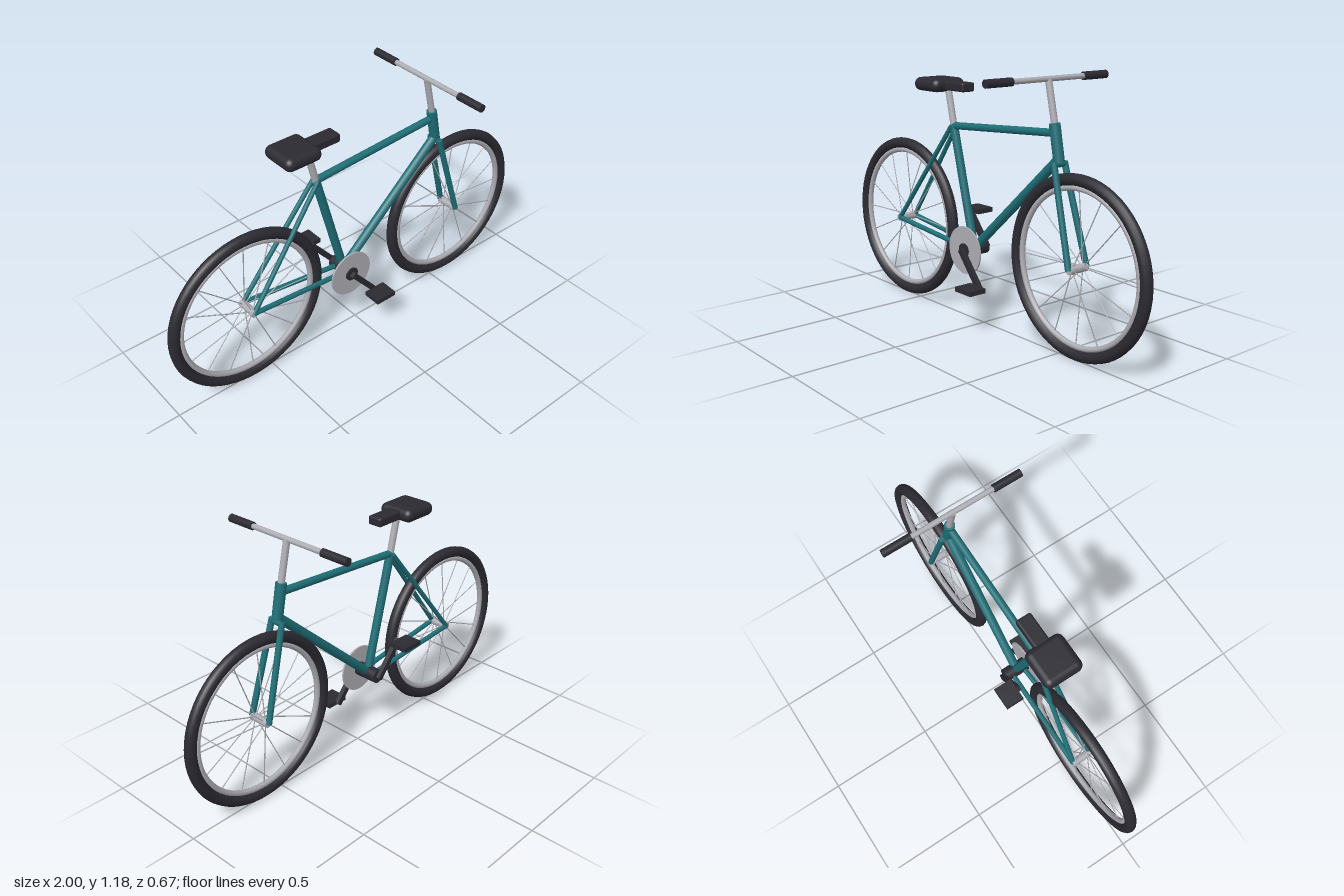
import * as THREE from 'three';
import { RoundedBoxGeometry } from 'three/addons/geometries/RoundedBoxGeometry.js';

const material = (name, color) => {
  const m = new THREE.MeshStandardMaterial({ color });
  m.name = name;
  return m;
};

export function createModel() {
  const teal = material('tealPaint', 0x1e6e76);
  const black = material('blackRubber', 0x2b2a32);
  const silver = material('silverMetal', 0xadadb4);

  const bike = new THREE.Group();
  bike.name = 'bicycle';

  const add = (parent, name, geometry, mat, x = 0, y = 0, z = 0) => {
    const mesh = new THREE.Mesh(geometry, mat);
    mesh.name = name;
    mesh.position.set(x, y, z);
    parent.add(mesh);
    return mesh;
  };

  // Round bar between two points
  const up = new THREE.Vector3(0, 1, 0);
  const bar = (parent, name, from, to, r, mat, sides = 16) => {
    const a = new THREE.Vector3(...from), b = new THREE.Vector3(...to);
    const dir = b.clone().sub(a);
    const mesh = add(parent, name, new THREE.CylinderGeometry(r, r, dir.length(), sides), mat);
    mesh.position.copy(a).add(b).multiplyScalar(0.5);
    mesh.quaternion.setFromUnitVectors(up, dir.normalize());
    return mesh;
  };

  const axleY = 0.398, axleX = 0.602;
  const crank = [-0.07, 0.343];
  const seatTop = [-0.217, 0.9];
  const headTop = [0.453, 0.985], headLow = [0.484, 0.825];

  // Wheels: tyre, rim, hub and spokes fanning from alternate hub ends
  const wheel = (name, x) => {
    const g = new THREE.Group();
    g.name = name;
    g.position.set(x, axleY, 0);
    add(g, 'tyre', new THREE.TorusGeometry(0.372, 0.026, 12, 64), black);
    add(g, 'rim', new THREE.TorusGeometry(0.338, 0.013, 8, 64), silver);
    bar(g, 'hub', [0, 0, -0.05], [0, 0, 0.05], 0.018, silver);
    const count = 16;
    for (let i = 0; i < count; i++) {
      const a = (i / count) * Math.PI * 2, c = Math.cos(a), s = Math.sin(a);
      const z = i % 2 ? 0.03 : -0.03;
      bar(g, 'spoke', [c * 0.015, s * 0.015, z], [c * 0.335, s * 0.335, 0], 0.0025, silver, 6);
    }
    bike.add(g);
  };
  wheel('rearWheel', -axleX);
  wheel('frontWheel', axleX);

  // Main frame
  const frame = new THREE.Group();
  frame.name = 'frame';
  bike.add(frame);
  bar(frame, 'seatTube', [...crank, 0], [...seatTop, 0], 0.02, teal);
  bar(frame, 'topTube', [...seatTop, 0], [0.459, 0.945, 0], 0.017, teal);
  bar(frame, 'downTube', [...crank, 0], [0.48, 0.838, 0], 0.021, teal);
  bar(frame, 'headTube', [...headLow, 0], [...headTop, 0], 0.024, teal);
  bar(frame, 'forkCrown', [0.487, 0.82, -0.03], [0.487, 0.82, 0.03], 0.014, teal);

  // Paired stays and fork blades
  for (const s of [1, -1]) {
    bar(frame, 'seatStay', [...seatTop, s * 0.015], [-axleX, axleY, s * 0.045], 0.011, teal, 12);
    bar(frame, 'chainStay', [crank[0], crank[1], s * 0.03], [-axleX, axleY, s * 0.045], 0.012, teal, 12);
    bar(frame, 'forkBlade', [0.484, 0.828, s * 0.03], [axleX, axleY, s * 0.052], 0.014, teal, 12);
  }

  // Drivetrain
  const drive = new THREE.Group();
  drive.name = 'drivetrain';
  bike.add(drive);
  bar(drive, 'bottomBracket', [...crank, -0.066], [...crank, 0.066], 0.033, black, 20);
  bar(drive, 'chainring', [...crank, 0.051], [...crank, 0.059], 0.112, silver, 40);
  for (const s of [1, -1]) {
    const dx = 0.123 * s, dy = -0.147 * s;
    const arm = add(drive, 'crankArm', new THREE.BoxGeometry(0.026, Math.hypot(dx, dy) + 0.015, 0.022),
      black, crank[0] + dx / 2, crank[1] + dy / 2, s * 0.074);
    arm.rotation.z = Math.atan2(0.123, 0.147);
    add(drive, 'pedal', new THREE.BoxGeometry(0.108, 0.022, 0.088), black,
      crank[0] + dx, crank[1] + dy, s * 0.124);
  }

  // Saddle on its post
  const saddle = new THREE.Group();
  saddle.name = 'saddle';
  bike.add(saddle);
  bar(saddle, 'seatPost', [...seatTop, 0], [-0.26, 1.075, 0], 0.016, silver);
  add(saddle, 'saddlePad', new RoundedBoxGeometry(0.18, 0.062, 0.18, 4, 0.03), black, -0.326, 1.085, 0);
  add(saddle, 'saddleNose', new RoundedBoxGeometry(0.2, 0.042, 0.072, 3, 0.01), black, -0.206, 1.085, 0);

  // Handlebar, stem and grips
  const steering = new THREE.Group();
  steering.name = 'handlebar';
  bike.add(steering);
  const hx = 0.413, hy = 1.163;
  bar(steering, 'stem', [...headTop, 0], [hx, hy, 0], 0.015, silver);
  bar(steering, 'crossBar', [hx, hy, -0.33], [hx, hy, 0.33], 0.012, silver);
  for (const s of [1, -1]) {
    bar(steering, 'grip', [hx, hy, s * 0.2], [hx, hy, s * 0.337], 0.018, black);
  }

  return bike;
}
